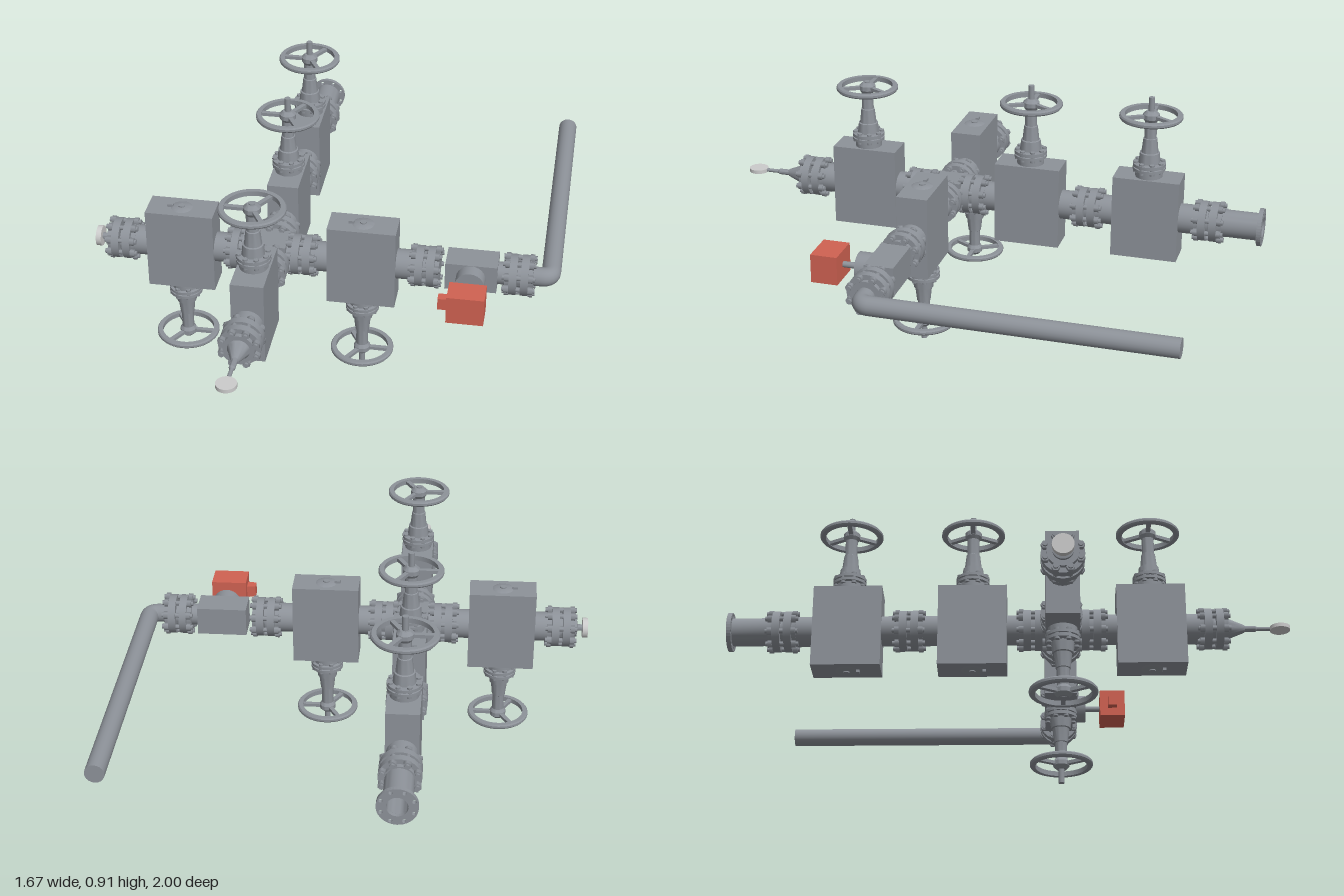
import * as THREE from 'three';
import { toCreasedNormals } from 'three/addons/utils/BufferGeometryUtils.js';

const STEEL = new THREE.MeshStandardMaterial({ color: 0x8d9299 });
const RED = new THREE.MeshStandardMaterial({ color: 0xd06252 });
const PALE = new THREE.MeshStandardMaterial({ color: 0xd8dadc });
const UP = new THREE.Vector3(0, 1, 0);
const CX = -0.191, CY = 0.457, CZ = 0.185; // centre of the cross

function add(parent, name, geo, x = 0, y = 0, z = 0, mat = STEEL) {
  const m = new THREE.Mesh(geo, mat);
  m.name = name;
  m.position.set(x, y, z);
  parent.add(m);
  return m;
}

// Turned part along local y from [radius, height] pairs, with sharp steps
function turned(parent, name, profile, segments = 28) {
  const pts = profile.map(([r, h]) => new THREE.Vector2(r, h));
  return add(parent, name, toCreasedNormals(new THREE.LatheGeometry(pts, segments), 0.5));
}

function rod(parent, name, r, from, to, segments = 24, mat = STEEL) {
  return add(parent, name, new THREE.CylinderGeometry(r, r, to - from, segments), 0, (from + to) / 2, 0, mat);
}

// Group whose local y points along a direction
function aimed(parent, name, pos, dir) {
  const g = new THREE.Group();
  g.name = name;
  g.position.set(...pos);
  g.quaternion.setFromUnitVectors(UP, new THREE.Vector3(...dir));
  parent.add(g);
  return g;
}

function ringOf(count, r, fn) {
  for (let i = 0; i < count; i++) {
    const a = ((i + 0.5) / count) * Math.PI * 2;
    fn(Math.cos(a) * r, Math.sin(a) * r, a);
  }
}

// Two bolted flanges centred at distance d along the run
function flangePair(run, d) {
  const g = new THREE.Group();
  g.name = 'flangePair';
  g.position.y = d;
  run.add(g);
  turned(g, 'flanges', [[0, -0.05], [0.055, -0.05], [0.055, -0.034], [0.073, -0.034], [0.073, -0.007],
    [0.045, -0.007], [0.045, 0.007], [0.073, 0.007], [0.073, 0.034], [0.055, 0.034], [0.055, 0.05], [0, 0.05]]);
  ringOf(8, 0.063, (x, z) => {
    add(g, 'stud', new THREE.CylinderGeometry(0.009, 0.009, 0.116, 8), x, 0, z);
    for (const s of [-1, 1]) add(g, 'nut', new THREE.CylinderGeometry(0.0145, 0.0145, 0.016, 6), x, s * 0.042, z);
  });
}

function handwheel(parent, y) {
  const g = new THREE.Group();
  g.name = 'handwheel';
  g.position.y = y;
  parent.add(g);
  turned(g, 'rim', [[0.095, -0.009], [0.111, -0.009], [0.115, -0.004], [0.115, 0.004],
    [0.111, 0.009], [0.095, 0.009], [0.095, -0.009]], 40);
  turned(g, 'hub', [[0, -0.02], [0.022, -0.02], [0.03, -0.008], [0.03, 0.008], [0.018, 0.02], [0, 0.02]]);
  ringOf(3, 0.062, (x, z, a) => {
    add(g, 'spoke', new THREE.BoxGeometry(0.078, 0.012, 0.016), x, 0, z).rotation.y = -a;
  });
}

// Gate valve at distance d along a run; side is the direction of its stem
function gateValve(model, dir, d, side, stemEnd) {
  const pos = [CX + dir[0] * d, CY, CZ + dir[2] * d];
  const g = aimed(model, 'gateValve', pos, [0, side, 0]);
  const alongX = dir[0] !== 0;
  add(g, 'valveBody', new THREE.BoxGeometry(alongX ? 0.245 : 0.115, 0.308, alongX ? 0.115 : 0.245));
  turned(g, 'bonnet', [[0.05, 0.15], [0.05, 0.178], [0.06, 0.18], [0.06, 0.19], [0.054, 0.191], [0.054, 0.194],
    [0.06, 0.195], [0.06, 0.206], [0.04, 0.207], [0.036, 0.245], [0.031, 0.247], [0.025, 0.3],
    [0.022, 0.302], [0.022, 0.372], [0, 0.372]]);
  ringOf(8, 0.05, (x, z) => {
    add(g, 'bonnetBolt', new THREE.CylinderGeometry(0.0095, 0.0095, 0.042, 6), x, 0.192, z);
  });
  rod(g, 'stem', 0.011, 0.37, stemEnd);
  handwheel(g, 0.384);
  // Low cover and grease fitting on the side away from the stem
  turned(g, 'cover', [[0, -0.159], [0.03, -0.158], [0.04, -0.1535]]);
  const fit = alongX ? [0.042, 0] : [0, 0.042];
  add(g, 'fitting', new THREE.BoxGeometry(0.022, 0.014, 0.012), fit[0], -0.157, fit[1]);
  rod(g, 'plug', 0.012, -0.163, -0.15, 12);
}

export function createModel() {
  const model = new THREE.Group();
  model.name = 'valveManifold';

  // Central cross
  add(model, 'crossBlock', new THREE.BoxGeometry(0.112, 0.112, 0.112), CX, CY, CZ);

  // Four runs: direction, pipe length, flange positions, valves [distance, stem side, stem end]
  const arms = [
    ['leftRun', [1, 0, 0], 0.555, [0.11, 0.553], [[0.327, -1, 0.457]]],
    ['rightRun', [-1, 0, 0], 0.545, [0.11, 0.547], [[0.328, -1, 0.405]]],
    ['frontRun', [0, 0, 1], 0.54, [0.107, 0.54], [[0.32, 1, 0.408]]],
    ['backRun', [0, 0, -1], 0.99, [0.1, 0.54, 0.99], [[0.315, 1, 0.455], [0.76, 1, 0.455]]],
  ];
  const runs = {};
  for (const [name, dir, length, flanges, valves] of arms) {
    const run = (runs[name] = aimed(model, name, [CX, CY, CZ], dir));
    rod(run, 'pipe', 0.054, 0, length, 28);
    flanges.forEach((d) => flangePair(run, d));
    valves.forEach(([d, side, end]) => gateValve(model, dir, d, side, end));
  }

  // Capped end and pale dial on the right run
  turned(runs.rightRun, 'endCap', [[0.035, 0.59], [0.035, 0.606], [0.012, 0.61], [0.012, 0.63]]);
  rod(runs.rightRun, 'endDial', 0.037, 0.628, 0.647, 28, PALE);

  // Tapered end, thin pipe and flat pale gauge on the front run
  turned(runs.frontRun, 'taperedEnd', [[0.042, 0.585], [0.034, 0.6], [0.014, 0.65], [0.011, 0.652],
    [0.011, 0.69], [0.007, 0.695], [0.007, 0.75], [0, 0.75]]);
  add(model, 'gauge', new THREE.CylinderGeometry(0.036, 0.036, 0.014, 28), CX, CY, 0.963, PALE);

  // Open spool with a drilled end flange on the back run
  turned(runs.backRun, 'spool', [[0.036, 1.03], [0.05, 1.03], [0.05, 1.172], [0.036, 1.172], [0.036, 1.03]]);
  const ring = new THREE.Shape().absarc(0, 0, 0.069, 0, Math.PI * 2);
  ring.holes.push(new THREE.Path().absarc(0, 0, 0.036, 0, Math.PI * 2, true));
  ringOf(8, 0.058, (x, y) => ring.holes.push(new THREE.Path().absarc(x, y, 0.007, 0, Math.PI * 2, true)));
  add(model, 'endFlange', new THREE.ExtrudeGeometry(ring, { depth: 0.016, bevelEnabled: false, curveSegments: 20 }),
    CX, CY, -1);

  // Choke with its red actuator
  add(model, 'chokeBody', new THREE.BoxGeometry(0.183, 0.106, 0.106), 0.526, CY, 0.184);
  const choke = aimed(model, 'chokeDrive', [0.526, CY, 0.184], [0, 0, 1]);
  rod(choke, 'chokeNeck', 0.052, 0.04, 0.103);
  rod(choke, 'chokeStem', 0.011, 0.1, 0.17);
  add(model, 'actuator', new THREE.BoxGeometry(0.13, 0.104, 0.096), 0.526, CY, 0.392, RED);
  add(model, 'actuatorMotor', new THREE.BoxGeometry(0.036, 0.044, 0.034), 0.446, CY, 0.392, RED);

  // Outlet flange and long bent flow line
  const outlet = aimed(model, 'outlet', [0, CY, CZ], [1, 0, 0]);
  rod(outlet, 'outletNeck', 0.04, 0.605, 0.66);
  flangePair(outlet, 0.693);
  const path = new THREE.CurvePath();
  const p = (x, z) => new THREE.Vector3(x, CY, z);
  path.add(new THREE.LineCurve3(p(0.7, CZ), p(0.768, CZ)));
  path.add(new THREE.QuadraticBezierCurve3(p(0.768, CZ), p(0.803, CZ), p(0.803, 0.15)));
  path.add(new THREE.LineCurve3(p(0.803, 0.15), p(0.803, -0.886)));
  add(model, 'flowLine', new THREE.TubeGeometry(path, 160, 0.034, 20));
  const tip = aimed(model, 'flowLineEnd', [0.803, CY, -0.886], [0, 0, -1]);
  rod(tip, 'flowLineCap', 0.034, -0.01, 0.001, 20);

  return model;
}
